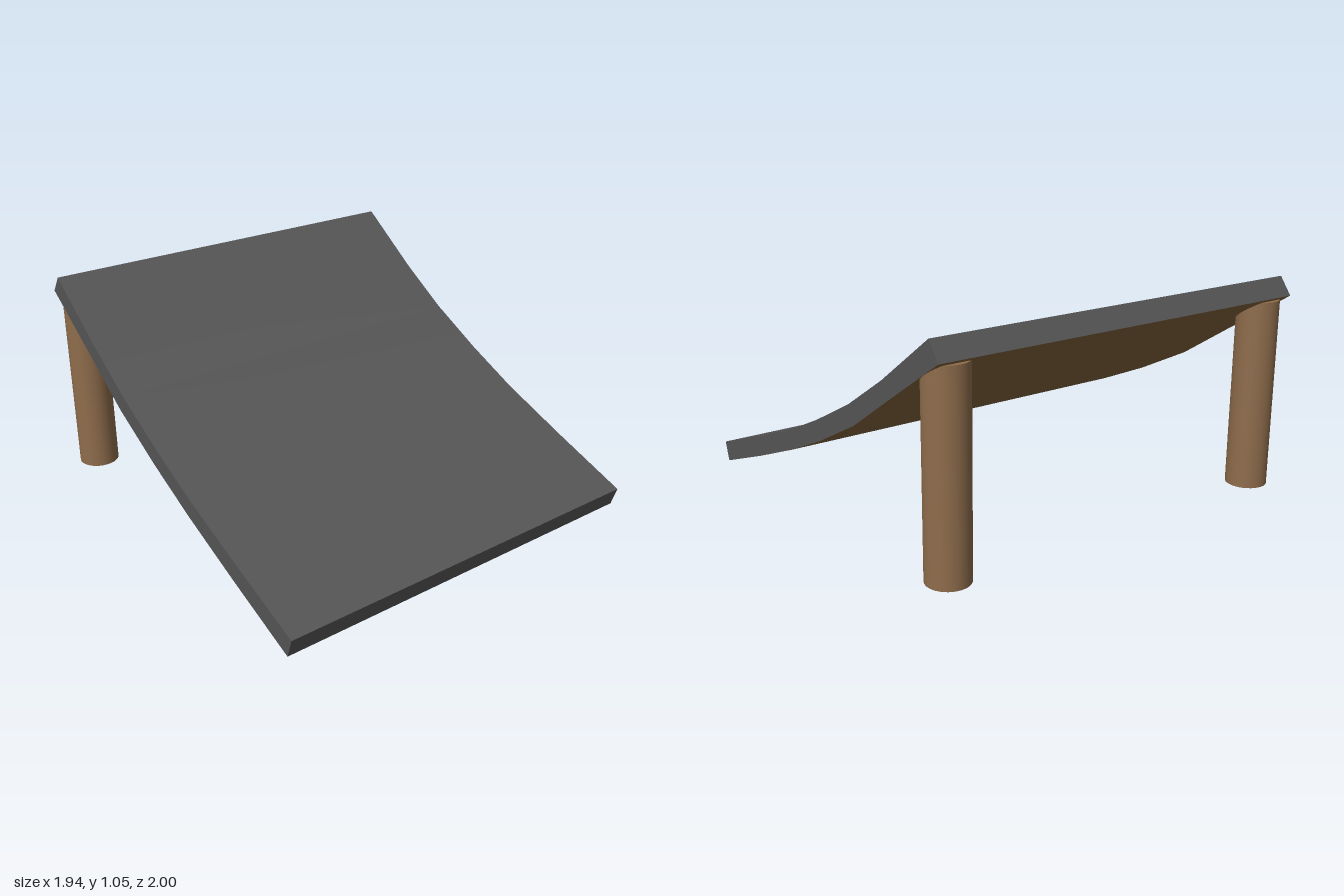
import * as THREE from 'three';

const WIDTH = 1.94;

// Ramp cross-section as [z, y], from the low front edge to the high back edge
const TOP = [[1, 0.095], [0.6, 0.237], [0.24, 0.372], [-0.04, 0.498], [-0.33, 0.645], [-0.6, 0.812], [-0.94, 1.05]];
const BOTTOM = [[0.97, 0], [0.57, 0.146], [0.22, 0.282], [-0.07, 0.41], [-0.37, 0.562], [-0.64, 0.737], [-1, 0.967]];

// Sweeps a [z, y] line across the width; smooth within one strip
function strip(line, flip = false) {
  const pos = [], index = [];
  line.forEach(([z, y], i) => {
    pos.push(-WIDTH / 2, y, z, WIDTH / 2, y, z);
    if (i === 0) return;
    const a = 2 * i - 2, b = a + 1, c = a + 2, d = a + 3;
    index.push(...(flip ? [a, c, b, b, c, d] : [a, b, c, b, d, c]));
  });
  const geo = new THREE.BufferGeometry();
  geo.setAttribute('position', new THREE.Float32BufferAttribute(pos, 3));
  geo.setIndex(index);
  geo.computeVertexNormals();
  return geo;
}

export function createModel() {
  const model = new THREE.Group();
  const material = (name, color) => new THREE.MeshStandardMaterial({ name, color });
  const grey = material('dark grey surface', 0x555555);
  const underWood = material('underside wood', 0x86663f);
  const legWood = material('leg wood', 0x8f6d4c);

  const add = (name, geo, mat) => {
    const mesh = new THREE.Mesh(geo, mat);
    mesh.name = name;
    model.add(mesh);
    return mesh;
  };

  // Curved deck and its underside
  add('rampSurface', strip(TOP), grey);
  add('rampUnderside', strip(BOTTOM, true), underWood);

  // Front and back edges
  const last = TOP.length - 1;
  add('frontEdge', strip([BOTTOM[0], TOP[0]]), grey);
  add('backEdge', strip([TOP[last], BOTTOM[last]]), grey);

  // Side edges: the cross-section as a flat face, turned to face outwards
  const outline = [...TOP, ...[...BOTTOM].reverse()];
  for (const s of [1, -1]) {
    const shape = new THREE.Shape(outline.map(([z, y]) => new THREE.Vector2(-s * z, y)));
    const side = add(s > 0 ? 'leftEdge' : 'rightEdge', new THREE.ShapeGeometry(shape), grey);
    side.rotation.y = s * Math.PI / 2;
    side.position.x = s * WIDTH / 2;
  }

  // Round legs under the high end
  const legGeo = new THREE.CylinderGeometry(0.097, 0.097, 0.9, 32);
  for (const s of [1, -1]) {
    add(s > 0 ? 'leftLeg' : 'rightLeg', legGeo, legWood).position.set(s * 0.87, 0.5, -0.9);
  }
  return model;
}
